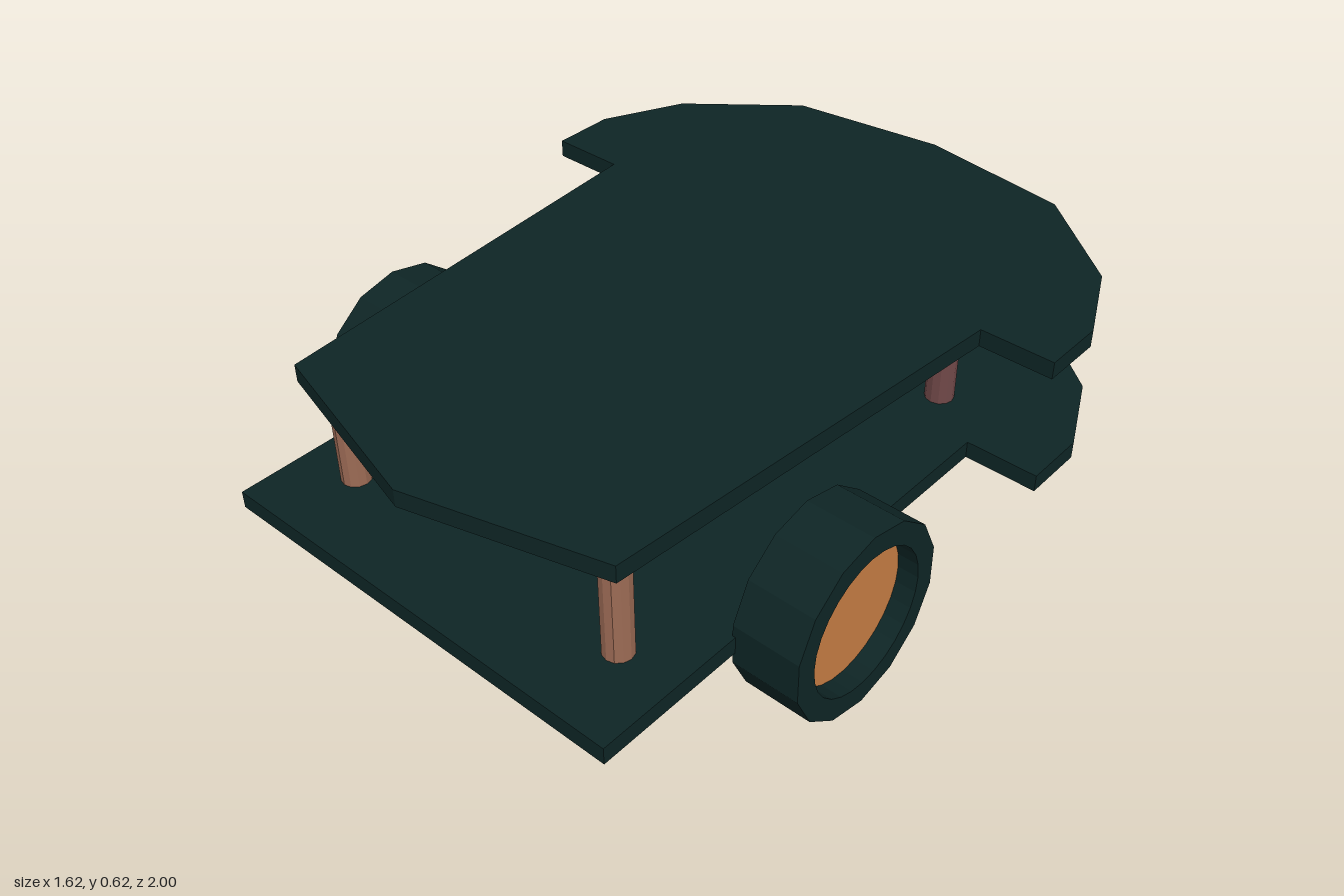
import * as THREE from 'three';

const mat = (name, color) => {
  const m = new THREE.MeshStandardMaterial({ color });
  m.name = name;
  return m;
};

// Points of a regular polygon with one corner straight up
const ring = (radius, sides) => Array.from({ length: sides }, (_, i) => {
  const a = Math.PI / 2 + (i / sides) * Math.PI * 2;
  return new THREE.Vector2(Math.cos(a) * radius, Math.sin(a) * radius);
});

// Right half of the rounded rear, from the waist notch to the rear tip [x, z]
const REAR = [[0.81, -0.32], [0.81, -0.495], [0.705, -0.715], [0.43, -0.94], [0, -1]];

// Mirrored flat deck cut from a half outline
function deck(name, front, topY, material) {
  const half = [...front, ...REAR];
  const mirrored = half.filter(([x]) => x > 0).reverse().map(([x, z]) => [-x, z]);
  const shape = new THREE.Shape([...half, ...mirrored].map(([x, z]) => new THREE.Vector2(x, z)));
  const geo = new THREE.ExtrudeGeometry(shape, { depth: 0.048, bevelEnabled: false });
  geo.rotateX(Math.PI / 2).translate(0, topY, 0);
  const mesh = new THREE.Mesh(geo, material);
  mesh.name = name;
  return mesh;
}

// Wheel built along +z: tyre ring, solid core, recessed hub disc
function wheel(name, tyreMat, hubMat) {
  const width = 0.185, recess = 0.06, hole = 0.193;
  const group = new THREE.Group();
  group.name = name;

  const shape = new THREE.Shape(ring(0.255, 14));
  shape.holes.push(new THREE.Path(ring(hole, 28)));
  const tyre = new THREE.Mesh(
    new THREE.ExtrudeGeometry(shape, { depth: width, bevelEnabled: false }), tyreMat);
  tyre.name = 'tyre';

  const coreDepth = width - recess;
  const core = new THREE.Mesh(
    new THREE.ExtrudeGeometry(new THREE.Shape(ring(hole, 28)), { depth: coreDepth, bevelEnabled: false }), tyreMat);
  core.name = 'wheelCore';

  const hub = new THREE.Mesh(new THREE.ShapeGeometry(new THREE.Shape(ring(hole, 28))), hubMat);
  hub.name = 'hubDisc';
  hub.position.z = coreDepth + 0.004;

  group.add(tyre, core, hub);
  return group;
}

export function createModel() {
  const model = new THREE.Group();
  model.name = 'twoDeckRover';

  const dark = mat('dark teal', 0x0e2525);
  const orange = mat('hub orange', 0xc67d44);
  const copper = mat('copper', 0x9c6b55);
  const rust = mat('dull red brown', 0x704848);
  copper.flatShading = rust.flatShading = true;

  // Decks: square-nosed below, tapered and pointed above
  model.add(deck('lowerDeck', [[0.608, 1], [0.608, -0.32]], 0.28, dark));
  model.add(deck('upperDeck', [[0, 0.99], [0.515, 0.85], [0.606, -0.32]], 0.625, dark));

  // Posts between the decks
  const postGeo = new THREE.CylinderGeometry(0.039, 0.039, 0.305, 12);
  for (const side of [1, -1]) {
    for (const [name, z, m] of [['frontPost', 0.78, copper], ['rearPost', -0.435, rust]]) {
      const post = new THREE.Mesh(postGeo, m);
      post.name = (side > 0 ? 'left_' : 'right_') + name;
      post.position.set(side * 0.442, 0.4275, z);
      model.add(post);
    }
  }

  // Wheels, hub facing outwards
  for (const [side, x] of [[1, 0.6], [-1, -0.61]]) {
    const w = wheel(side > 0 ? 'leftWheel' : 'rightWheel', dark, orange);
    w.rotation.y = side * Math.PI / 2;
    w.position.set(x, 0.255, 0.335);
    model.add(w);
  }

  return model;
}
